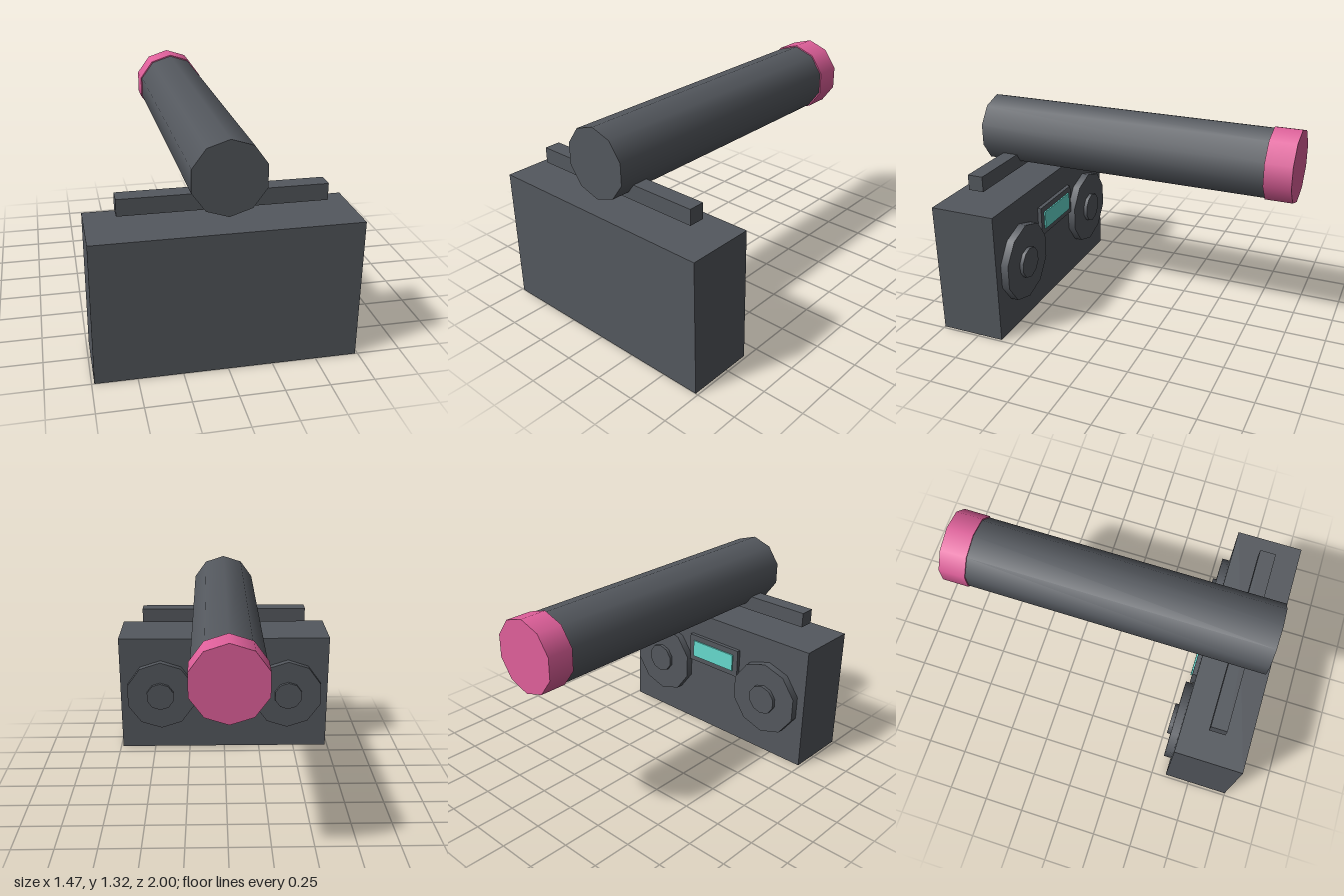
import * as THREE from 'three';

const dark = new THREE.MeshStandardMaterial({ name: 'charcoal', color: 0x54585e });
const pink = new THREE.MeshStandardMaterial({ name: 'pink', color: 0xe0609b });
const teal = new THREE.MeshStandardMaterial({ name: 'teal', color: 0x66dace });

export function createModel() {
  const model = new THREE.Group();
  model.name = 'portableStereo';

  function add(name, geometry, material, x, y, z) {
    const mesh = new THREE.Mesh(geometry, material);
    mesh.name = name;
    mesh.position.set(x, y, z);
    model.add(mesh);
  }

  // Box given by its width, its y range and its z range
  function box(name, material, width, y0, y1, z0, z1) {
    add(name, new THREE.BoxGeometry(width, y1 - y0, z1 - z0), material, 0, (y0 + y1) / 2, (z0 + z1) / 2);
  }

  // Ten-sided cylinder lying along z, with a corner at top and bottom
  function disc(name, material, radius, x, y, z0, z1) {
    const geometry = new THREE.CylinderGeometry(radius, radius, z1 - z0, 10).rotateX(Math.PI / 2);
    add(name, geometry, material, x, y, (z0 + z1) / 2);
  }

  // Case and carrying bar
  box('case', dark, 1.47, 0, 0.82, 0.592, 1);
  box('handleBar', dark, 1.14, 0.895, 0.99, 0.745, 0.842);

  // Speakers on the back face
  for (const side of [1, -1]) {
    const label = side > 0 ? 'left' : 'right';
    disc(label + 'Speaker', dark, 0.246, side * 0.448, 0.414, 0.543, 0.6);
    disc(label + 'SpeakerCore', dark, 0.098, side * 0.452, 0.413, 0.52, 0.55);
  }

  // Display between the speakers
  box('displayPanel', dark, 0.415, 0.475, 0.665, 0.567, 0.6);
  box('displayScreen', teal, 0.34, 0.512, 0.627, 0.558, 0.567);

  // Long tube with its end cap
  disc('tube', dark, 0.21, 0, 1.106, -0.85, 0.96);
  disc('tubeCap', pink, 0.218, 0, 1.106, -1, -0.84);

  return model;
}
